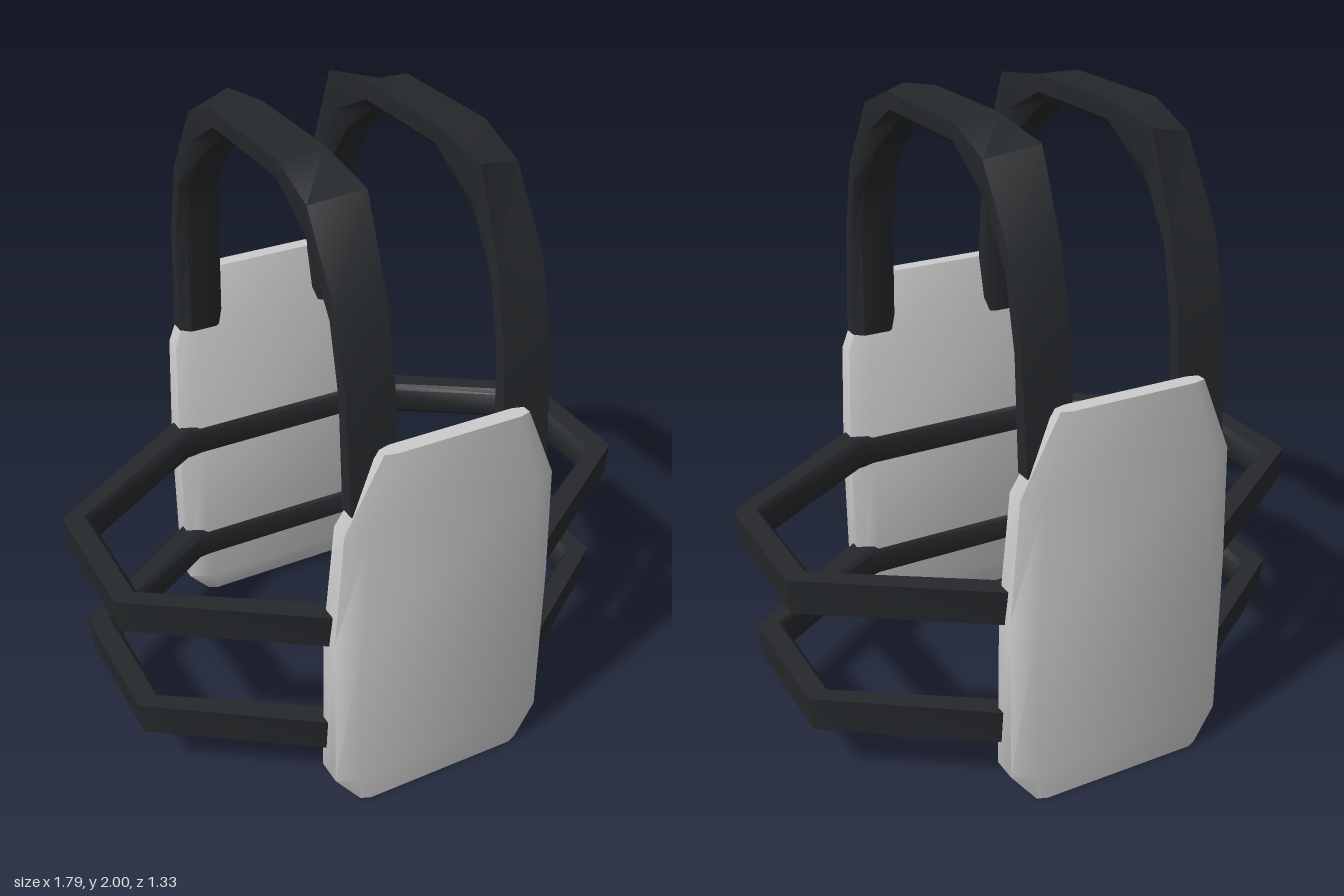
import * as THREE from 'three';
import { toCreasedNormals } from 'three/addons/utils/BufferGeometryUtils.js';

// Skin a list of equal-sized rings; open lofts get end caps
function loft(rings, closed, crease) {
  const n = rings[0].length, m = rings.length, index = [];
  for (let j = 0; j < (closed ? m : m - 1); j++) {
    for (let i = 0; i < n; i++) {
      const k = (i + 1) % n, next = ((j + 1) % m) * n;
      const a = j * n + i, b = j * n + k, c = next + k, d = next + i;
      index.push(a, b, c, a, c, d);
    }
  }
  if (!closed) {
    const last = (m - 1) * n;
    for (let i = 1; i < n - 1; i++) {
      index.push(0, i + 1, i, last, last + i, last + i + 1);
    }
  }
  const geometry = new THREE.BufferGeometry();
  geometry.setAttribute('position', new THREE.Float32BufferAttribute(rings.flat(2), 3));
  geometry.setIndex(index);
  return toCreasedNormals(geometry, crease);
}

// Armour plate: bevelled slab, narrowing towards the shoulders
function plateGeometry() {
  // y, half width, outer face half width, outer z, side z (outer, inner), inner z
  const stations = [
    [0.0, 0.29, 0.26, 0.648, 0.635, 0.56, 0.545],
    [0.1, 0.37, 0.30, 0.655, 0.62, 0.535, 0.497],
    [0.65, 0.37, 0.30, 0.66, 0.62, 0.55, 0.522],
    [1.04, 0.347, 0.28, 0.663, 0.635, 0.575, 0.552],
    [1.29, 0.235, 0.20, 0.665, 0.655, 0.625, 0.615],
  ];
  const rings = stations.map(([y, w, f, out, so, si, inn]) => [
    [-f, y, out], [f, y, out], [w, y, so], [w, y, si],
    [f, y, inn], [-f, y, inn], [-w, y, si], [-w, y, so],
  ]);
  return loft(rings, false, 1.1);
}

// Shoulder strap: arch from the front plate over to the back plate
function shoulderStrapGeometry() {
  // outer z, y at the neck edge; outer z, y at the arm edge; inner z, y
  const half = [
    [0.63, 1.1, 0.635, 1.1, 0.555, 1.1],
    [0.60, 1.47, 0.60, 1.47, 0.543, 1.43],
    [0.545, 1.71, 0.54, 1.70, 0.5, 1.63],
    [0.437, 1.965, 0.39, 1.93, 0.375, 1.79],
    [0.2, 2.0, 0.22, 1.995, 0.2, 1.915],
  ];
  const back = half.slice().reverse().map(([a, b, c, d, e, f]) => [-a, b, -c, d, -e, f]);
  const x0 = 0.173, x1 = 0.325, bevel = 0.03;
  const mix = (a, b) => a + (b - a) * 0.65;
  const rings = [...half, ...back].map(([nz, ny, az, ay, iz, iy]) => [
    [x0, ny, nz], [x1, ay, az],
    [x1, mix(ay, iy), mix(az, iz)],
    [x1 - bevel, iy, iz], [x0 + bevel, iy, iz],
    [x0, mix(ny, iy), mix(nz, iz)],
  ]);
  return loft(rings, false, 0.75);
}

// Side strap: closed band passing inside both plates and bowing out at the sides
function sideStrapGeometry(y, height, outer, inner) {
  const corners = ([sx, sz, cx, cz]) => [
    [-cx, cz], [cx, cz], [sx, sz], [sx, -sz],
    [cx, -cz], [-cx, -cz], [-sx, -sz], [-sx, sz],
  ];
  const o = corners(outer), n = corners(inner);
  const bevel = 0.018;
  const rings = o.map(([ox, oz], i) => {
    const at = (t, h) => [ox + (n[i][0] - ox) * t, y + h, oz + (n[i][1] - oz) * t];
    return [
      at(0, height), at(0.12, 0), at(0.8, 0),
      at(1, bevel), at(1, height - bevel), at(0.8, height),
    ];
  });
  return loft(rings, true, 0.75);
}

export function createModel() {
  const model = new THREE.Group();
  model.name = 'plateVest';
  const plateMaterial = new THREE.MeshStandardMaterial({ color: 0xcccccc });
  const strapMaterial = new THREE.MeshStandardMaterial({ color: 0x25282b });
  const add = (name, geometry, material, turn = 0) => {
    const mesh = new THREE.Mesh(geometry, material);
    mesh.name = name;
    mesh.rotation.y = turn;
    model.add(mesh);
  };

  const plate = plateGeometry();
  add('frontPlate', plate, plateMaterial);
  add('backPlate', plate, plateMaterial, Math.PI);

  const shoulder = shoulderStrapGeometry();
  add('leftShoulderStrap', shoulder, strapMaterial);
  add('rightShoulderStrap', shoulder, strapMaterial, Math.PI);

  // corner positions: side x, side z, plate x, plate z
  add('upperSideStrap', sideStrapGeometry(0.62, 0.115,
    [0.895, 0.235, 0.37, 0.598], [0.812, 0.21, 0.34, 0.518]), strapMaterial);
  add('lowerSideStrap', sideStrapGeometry(0.19, 0.115,
    [0.852, 0.23, 0.36, 0.58], [0.77, 0.205, 0.33, 0.497]), strapMaterial);

  return model;
}
